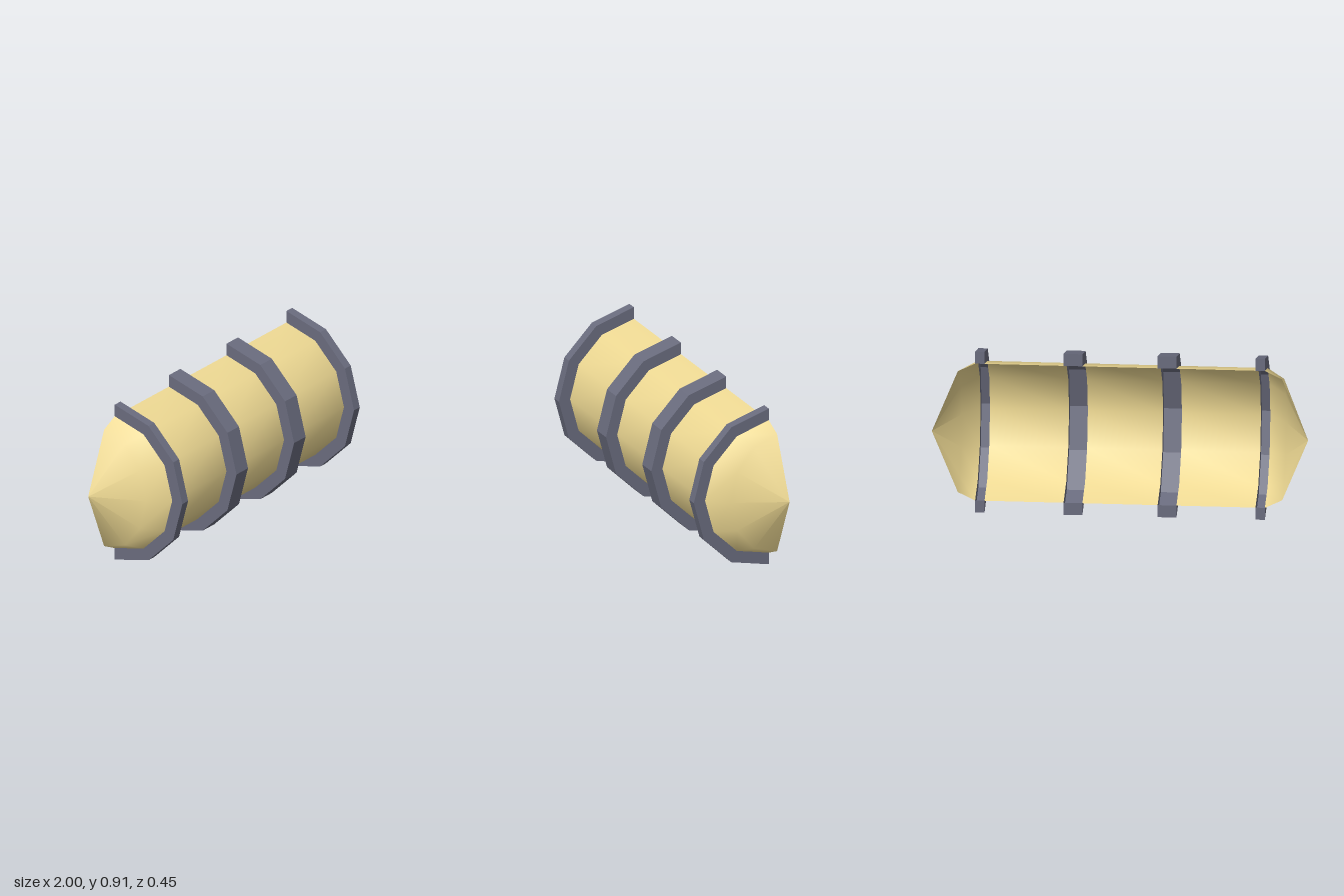
import * as THREE from 'three';

const CY = 0.4525;   // height of the barrel axis
const CZ = -0.2265;  // plane of the open back
const R_BODY = 0.385, R_HOOP = 0.4525;
const SEGS = 6;      // facets around the half circle

const shellMat = new THREE.MeshStandardMaterial({ color: 0xeed993, side: THREE.DoubleSide });
const hoopMat = new THREE.MeshStandardMaterial({ color: 0x6a6c7e, side: THREE.DoubleSide, flatShading: true });

// Skin a row of half-round sections [x, radiusY, radiusZ], listed along the surface
function loftHalf(sections) {
  const pos = [], idx = [], row = SEGS + 1;
  for (const [x, ry, rz] of sections) {
    for (let j = 0; j <= SEGS; j++) {
      const a = Math.PI / 2 - (j / SEGS) * Math.PI;
      pos.push(x, CY + ry * Math.sin(a), CZ + rz * Math.cos(a));
    }
  }
  for (let i = 0; i < sections.length - 1; i++) {
    for (let j = 0; j < SEGS; j++) {
      const a = i * row + j, b = a + 1, c = a + row, d = c + 1;
      idx.push(a, b, c, b, d, c);
    }
  }
  const geo = new THREE.BufferGeometry();
  geo.setAttribute('position', new THREE.Float32BufferAttribute(pos, 3));
  geo.setIndex(idx);
  geo.computeVertexNormals();
  return geo;
}

function addMesh(parent, name, geo, mat) {
  const mesh = new THREE.Mesh(geo, mat);
  mesh.name = name;
  parent.add(mesh);
  return mesh;
}

// Raised hoop: hollow channel, open towards the barrel, closed at its two ends
function makeHoop(name, x0, x1) {
  const hoop = new THREE.Group();
  hoop.name = name;
  const profile = [[x0, R_BODY], [x0, R_HOOP], [x1, R_HOOP], [x1, R_BODY]];
  const band = loftHalf(profile.map(([x, r]) => [x, r, r])).toNonIndexed();
  band.computeVertexNormals();
  addMesh(hoop, 'hoopBand', band, hoopMat);
  for (const s of [1, -1]) {
    const end = addMesh(hoop, 'hoopEnd', new THREE.PlaneGeometry(x1 - x0, R_HOOP - R_BODY), hoopMat);
    end.rotation.y = Math.PI;
    end.position.set((x0 + x1) / 2, CY + s * (R_HOOP + R_BODY) / 2, CZ);
  }
  return hoop;
}

export function createModel() {
  const model = new THREE.Group();
  model.name = 'halfBarrel';

  // Barrel wall between the hoops
  for (const [x0, x1] of [[-0.72, -0.3], [-0.2, 0.2], [0.3, 0.72]]) {
    addMesh(model, 'barrelWall', loftHalf([[x0, R_BODY, R_BODY], [x1, R_BODY, R_BODY]]), shellMat);
  }

  // Hoops
  for (const [x0, x1] of [[-0.77, -0.72], [-0.3, -0.2], [0.2, 0.3], [0.72, 0.77]]) {
    model.add(makeHoop('hoop', x0, x1));
  }

  // Pointed ends
  const nose = [[0.77, R_BODY, R_BODY], [0.862, 0.34, 0.277], [1, 0, 0]];
  addMesh(model, 'leftNose', loftHalf(nose), shellMat);
  addMesh(model, 'rightNose', loftHalf(nose.map(([x, ry, rz]) => [-x, ry, rz]).reverse()), shellMat);

  return model;
}
